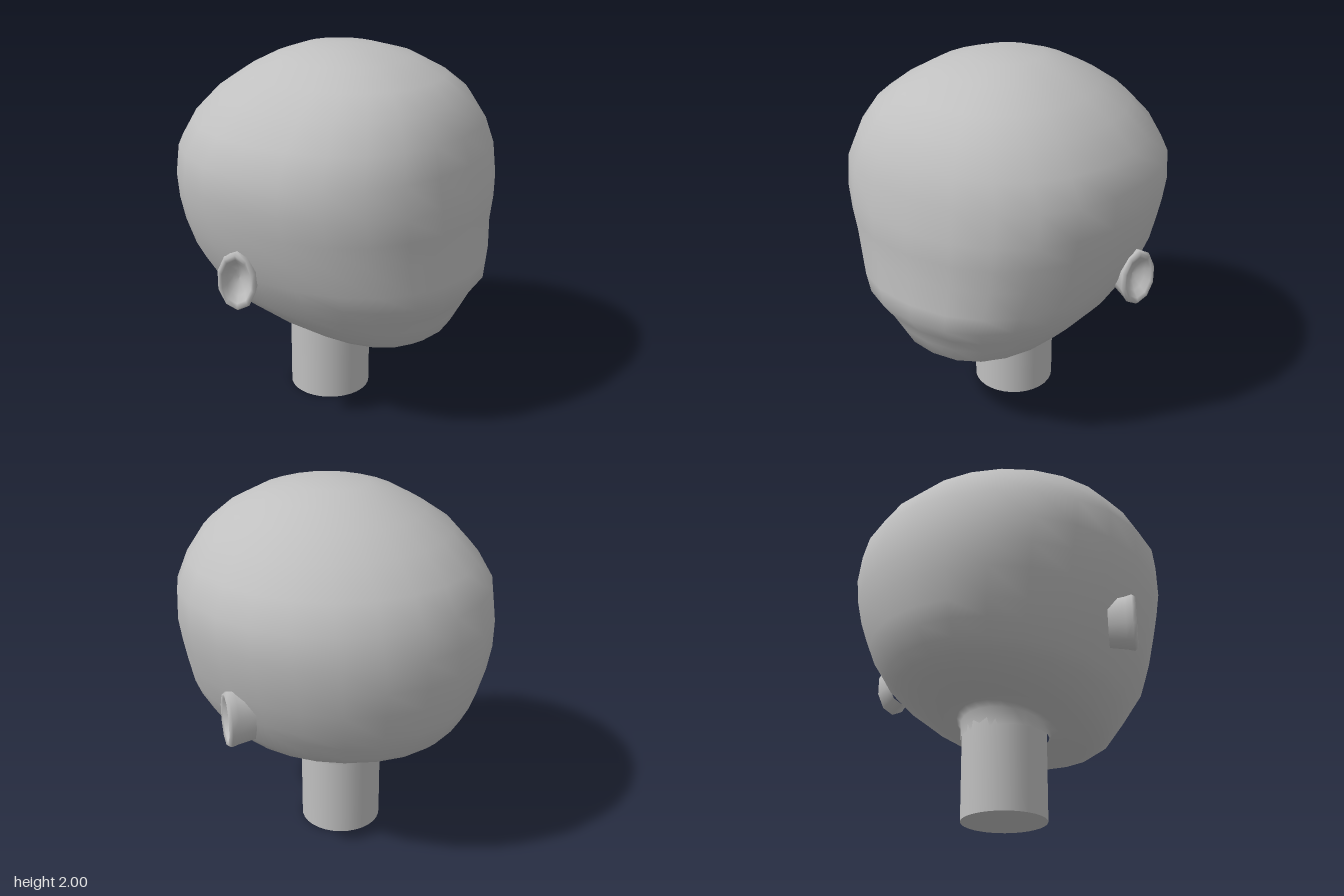
import * as THREE from 'three';

const SEGMENTS = 24;

// Smooth surface through tilted oval rings, given as
// [front y, front z, back y, back z, half width], from the crown down.
function loft(apex, rings) {
  const pos = [...apex], index = [];
  for (const [yF, zF, yB, zB, w] of rings) {
    const zMid = (zF + zB) / 2, half = (zF - zB) / 2;
    for (let j = 0; j < SEGMENTS; j++) {
      const a = (j / SEGMENTS) * Math.PI * 2;
      const s = Math.sin(a), c = Math.cos(a);
      // the face is a little squarer than the back of the skull
      const e = c > 0 ? 2 / 2.25 : 1;
      const x = w * Math.sign(s) * Math.abs(s) ** e;
      const k = Math.sign(c) * Math.abs(c) ** e;
      pos.push(x, (yF + yB) / 2 + ((yF - yB) / 2) * k, zMid + half * k);
    }
  }
  for (let j = 0; j < SEGMENTS; j++) {
    const n = (j + 1) % SEGMENTS;
    index.push(0, 1 + j, 1 + n);
    for (let i = 0; i < rings.length - 1; i++) {
      const a = 1 + i * SEGMENTS, b = a + SEGMENTS;
      index.push(a + j, b + j, b + n, a + j, b + n, a + n);
    }
  }
  const g = new THREE.BufferGeometry();
  g.setAttribute('position', new THREE.Float32BufferAttribute(pos, 3));
  g.setIndex(index);
  g.computeVertexNormals();
  return g;
}

export function createModel() {
  const model = new THREE.Group();
  model.name = 'headBust';
  const grey = new THREE.MeshStandardMaterial({ color: 0xc0c0c0 });
  grey.name = 'plain grey';

  const add = (name, geometry) => {
    const mesh = new THREE.Mesh(geometry, grey);
    mesh.name = name;
    model.add(mesh);
    return mesh;
  };

  // Skull, face, jaw and the collar that runs into the neck
  add('head', loft([0, 2, 0.07], [
    [1.985, 0.25, 1.985, -0.15, 0.19],
    [1.94, 0.43, 1.935, -0.3, 0.35],
    [1.85, 0.6, 1.86, -0.45, 0.5],
    [1.75, 0.71, 1.76, -0.6, 0.64],
    [1.61, 0.79, 1.62, -0.74, 0.75],
    [1.47, 0.83, 1.48, -0.82, 0.825],
    [1.3, 0.855, 1.32, -0.855, 0.825],
    [1.18, 0.86, 1.18, -0.86, 0.8],
    [1.05, 0.85, 1.05, -0.84, 0.77],
    [0.9, 0.865, 0.9, -0.805, 0.715],
    [0.8, 0.86, 0.82, -0.765, 0.665],
    [0.7, 0.79, 0.74, -0.715, 0.615],
    [0.62, 0.75, 0.69, -0.66, 0.56],
    [0.52, 0.7, 0.645, -0.58, 0.48],
    [0.465, 0.62, 0.615, -0.48, 0.41],
    [0.44, 0.53, 0.595, -0.4, 0.345],
    [0.435, 0.35, 0.575, -0.29, 0.265],
    [0.445, 0.23, 0.55, -0.25, 0.24],
    [0.45, 0.205, 0.45, -0.245, 0.235],
  ]));

  // Neck
  const neck = add('neck', new THREE.CylinderGeometry(0.226, 0.226, 0.5, 32));
  neck.position.set(0, 0.25, -0.02);

  // Ears: oval cups turned outwards and a little forwards
  const profile = [
    [0.135, -0.14], [0.15, -0.05], [0.16, -0.015], [0.145, 0.003],
    [0.12, -0.005], [0.09, -0.035], [0.045, -0.06], [0, -0.065],
  ].map(([r, y]) => new THREE.Vector2(r, y));
  const earShape = new THREE.LatheGeometry(profile, 10);
  earShape.rotateX(Math.PI / 2).scale(0.64, 1, 1);
  for (const side of [1, -1]) {
    const ear = add(side > 0 ? 'leftEar' : 'rightEar', earShape);
    ear.position.set(side * 0.808, 0.917, -0.012);
    ear.rotation.y = side * 1.13;
  }
  return model;
}
